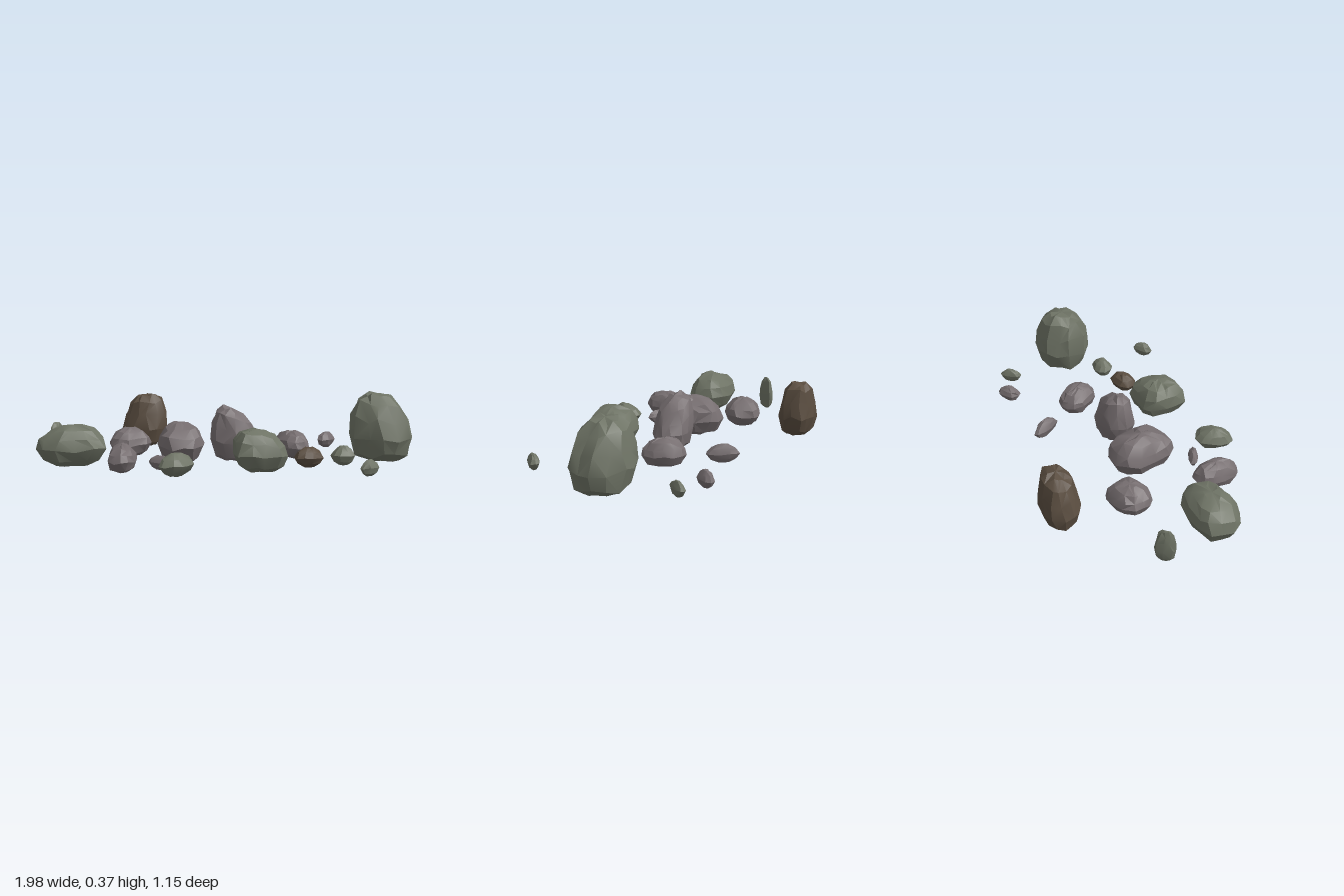
import * as THREE from 'three';
import { toCreasedNormals } from 'three/addons/utils/BufferGeometryUtils.js';

const COLORS = { green: 0x6e7365, mauve: 0x766e70, brown: 0x5a4d40 };

// Side profiles: [height fraction, share of the full outline]
const ROUND = [[0, 0.5], [0.14, 0.8], [0.42, 1], [0.66, 0.9], [0.86, 0.65], [0.97, 0.3]];
const TALL = [[0, 0.55], [0.1, 0.83], [0.36, 1], [0.62, 0.9], [0.85, 0.7], [0.97, 0.4]];
const FLAT = [[0, 0.35], [0.2, 0.75], [0.5, 1], [0.76, 0.75], [0.96, 0.33]];

// Small seeded generator, 0..1
function seeded(seed) {
  let s = seed * 7919 + 17;
  return () => (s = (s * 16807) % 2147483647) / 2147483647;
}

// Rounded-box outline; taper narrows the far end, lobes hollow the four sides
function outlinePoint(angle, length, width, taper, lobes) {
  const c = Math.cos(angle);
  const s = Math.sin(angle);
  const r = (Math.abs(c) ** 2.5 + Math.abs(s) ** 2.5) ** -0.4 * (1 - lobes * Math.cos(4 * angle));
  return [r * c * length / 2, r * s * width / 2 * (1 - taper * c)];
}

function rockGeometry(length, width, height, profile, { peakX = 0, peakZ = 0, tilt = 0, taper = 0, lobes = 0 }, seed) {
  const rand = seeded(seed);
  rand();
  const n = length < 0.2 ? 9 : 13;
  const corners = Array.from({ length: n }, () => 1 - rand() * 0.07);
  const positions = [];
  const index = [];

  // Rings from the base up, drifting towards the peak
  profile.forEach(([t, share], k) => {
    for (let j = 0; j < n; j++) {
      const angle = (j + (rand() - 0.5) * 0.5) / n * Math.PI * 2;
      const [u, v] = outlinePoint(angle, length, width, taper, lobes);
      const s = corners[j] * (share === 1 ? 1 : share * (0.95 + rand() * 0.1));
      const x = peakX * t + u * s;
      const z = peakZ * t + v * s;
      const bump = k === 0 ? rand() * 0.03 : (rand() - 0.5) * 0.09;
      const y = height * Math.min(1, t + bump) + tilt * (x - peakX) * t;
      positions.push(x, Math.max(0, y), z);
    }
  });

  // Facets between rings, with mixed diagonals
  for (let k = 0; k < profile.length - 1; k++) {
    for (let j = 0; j < n; j++) {
      const a = k * n + j;
      const b = k * n + (j + 1) % n;
      const c = a + n;
      const d = b + n;
      if (rand() < 0.5) index.push(a, c, b, b, c, d);
      else index.push(a, c, d, a, d, b);
    }
  }

  // Closed base and top
  const base = positions.length / 3;
  positions.push(0, 0, 0, peakX, height, peakZ);
  const last = (profile.length - 1) * n;
  for (let j = 0; j < n; j++) {
    const next = (j + 1) % n;
    index.push(base, j, next, base + 1, last + next, last + j);
  }

  const geometry = new THREE.BufferGeometry();
  geometry.setAttribute('position', new THREE.Float32BufferAttribute(positions, 3));
  geometry.setIndex(index);
  return toCreasedNormals(geometry, 0.42);
}

export function createModel() {
  const group = new THREE.Group();
  group.name = 'scatteredRocks';
  const materials = {};
  for (const key in COLORS) materials[key] = new THREE.MeshStandardMaterial({ color: COLORS[key] });

  // Place one rock: centre, length, width, height and turn in degrees
  function rock(name, color, profile, x, z, length, width, height, turn, shape = {}) {
    const geometry = rockGeometry(length, width, height, profile, shape, group.children.length + 1);
    const mesh = new THREE.Mesh(geometry, materials[color]);
    mesh.name = name;
    mesh.position.set(x, 0, z);
    mesh.rotation.y = THREE.MathUtils.degToRad(turn);
    group.add(mesh);
  }

  // Large rocks
  rock('bigBoulder', 'green', TALL, 0.83, -0.06, 0.35, 0.32, 0.36, -10, { peakX: -0.03, tilt: -0.12 });
  rock('tallBrownRock', 'brown', TALL, -0.53, -0.48, 0.27, 0.21, 0.3, 5, { peakX: 0.02, peakZ: -0.01, tilt: 0.15 });
  rock('peakedRock', 'mauve', TALL, 0.045, 0, 0.28, 0.21, 0.28, 0, { peakX: -0.02, tilt: -0.42 });
  rock('wideGreenRock', 'green', ROUND, -0.81, 0.205, 0.38, 0.26, 0.215, 8);
  rock('middleMauveRock', 'mauve', ROUND, -0.255, 0.045, 0.36, 0.26, 0.212, -80);
  rock('lobedGreenRock', 'green', ROUND, 0.185, 0.3, 0.3, 0.28, 0.215, 12, { peakX: -0.02, tilt: -0.15, lobes: 0.08 });

  // Medium rocks
  rock('backMauveRock', 'mauve', ROUND, -0.555, -0.125, 0.24, 0.21, 0.155, 30);
  rock('frontMauveRock', 'mauve', ROUND, -0.52, 0.36, 0.26, 0.155, 0.14, -85);
  rock('rightMauveRock', 'mauve', ROUND, 0.34, -0.12, 0.24, 0.17, 0.145, -55);
  rock('frontGreenRock', 'green', FLAT, -0.235, 0.475, 0.21, 0.15, 0.118, 60, { taper: -0.2 });
  rock('smallBrownRock', 'brown', FLAT, 0.43, 0.19, 0.165, 0.125, 0.105, 20);
  rock('smallGreenRock', 'green', FLAT, 0.61, 0.12, 0.135, 0.115, 0.105, 20);

  // Shards and chips
  rock('uprightShard', 'green', TALL, -0.96, -0.09, 0.115, 0.05, 0.185, 65);
  rock('flatChip', 'mauve', FLAT, -0.33, 0.315, 0.14, 0.055, 0.075, -20);
  rock('frontChip', 'green', FLAT, 0.725, 0.42, 0.125, 0.065, 0.085, 45);
  rock('backLongChip', 'mauve', FLAT, 0.155, -0.36, 0.185, 0.07, 0.1, -55);
  rock('backMauveChip', 'mauve', FLAT, 0.54, -0.465, 0.135, 0.08, 0.09, 50, { taper: 0.2 });
  rock('backGreenChip', 'green', FLAT, 0.72, -0.41, 0.13, 0.05, 0.08, 60);
  return group;
}
